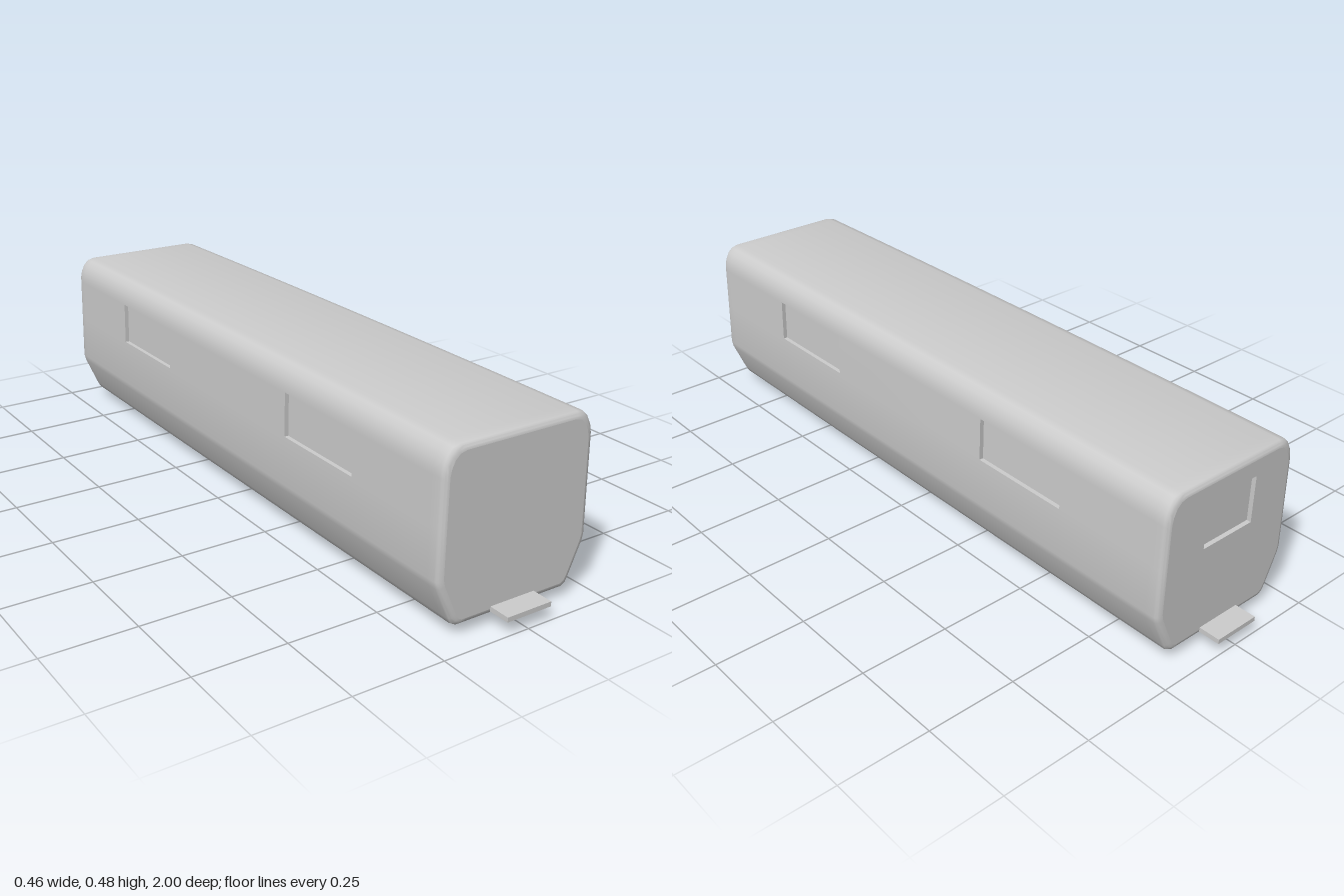
import * as THREE from 'three';
import { toCreasedNormals } from 'three/addons/utils/BufferGeometryUtils.js';

const grey = new THREE.MeshStandardMaterial({ color: 0xcccccc });
const END = 0.94;      // half length of the body
const BEVEL = 0.016;   // rounding of the end edges
const WIN = { z0: 0.31, z1: 0.605, y0: 0.29, y1: 0.41 };
const PIT = { x: 0.15, z: 0.9, y0: 0.028, y1: 0.084 };

// Right half of the cross-section, from the underside opening up to the roof
const half = [
  [PIT.x, 0.028], [0.165, 0.028], [0.178, 0.035], [0.186, 0.05], [0.224, 0.137], [0.2285, 0.156],
  [0.226, WIN.y0], [0.2238, WIN.y1], [0.2235, 0.425], [0.219, 0.446], [0.209, 0.466], [0.195, 0.479], [0.175, 0.484],
];
const section = [...half, ...half.map(([x, y]) => [-x, y]).reverse()];

// The body is very slightly fuller at mid length
function bulge(x, y, z) {
  const k = 1 - z * z;
  return [x * (0.99 + 0.011 * k), 0.028 + (y - 0.028) * (0.993 + 0.009 * k), z];
}

function ring(z, inset) {
  const s = 1 - inset / 0.228;
  return section.map(([x, y]) => bulge(x * s, 0.256 + (y - 0.256) * s, z));
}

function add(parent, name, geometry) {
  const mesh = new THREE.Mesh(geometry, grey);
  mesh.name = name;
  parent.add(mesh);
  return mesh;
}

// Lofted shell with gaps for the side windows and the underside
function shellGeometry() {
  const stations = [];
  for (let i = 0; i <= 4; i++) {
    const a = (i / 4) * Math.PI / 2;
    stations.push([END - BEVEL * (1 - Math.sin(a)), BEVEL * (1 - Math.cos(a))]);
  }
  for (const z of [PIT.z, 0.75, WIN.z1, 0.45, WIN.z0, 0.15]) stations.push([z, 0]);
  const all = [...stations, ...stations.map(([z, d]) => [-z, d]), [0, 0]].sort((a, b) => a[0] - b[0]);
  const rings = all.map(([z, d]) => ring(z, d));
  const pos = [];
  const n = section.length;
  for (let r = 0; r < rings.length - 1; r++) {
    const zMid = Math.abs(all[r][0] + all[r + 1][0]) / 2;
    for (let i = 0; i < n; i++) {
      const j = (i + 1) % n;
      const yMid = (section[i][1] + section[j][1]) / 2;
      const inWindow = zMid > WIN.z0 && zMid < WIN.z1 && yMid > WIN.y0 && yMid < WIN.y1;
      const inPit = i === n - 1 && zMid < PIT.z;
      if (inWindow || inPit) continue;
      const a = rings[r], b = rings[r + 1];
      pos.push(...a[i], ...a[j], ...b[j], ...a[i], ...b[j], ...b[i]);
    }
  }
  const g = new THREE.BufferGeometry();
  g.setAttribute('position', new THREE.Float32BufferAttribute(pos, 3));
  return toCreasedNormals(g, 0.6);
}

// Inward-facing box with one open face (0:+x 1:-x 2:+y 3:-y 4:+z 5:-z)
function recessGeometry(min, max, open) {
  const size = max.map((v, i) => v - min[i]);
  const box = new THREE.BoxGeometry(...size).toNonIndexed();
  const src = Array.from(box.attributes.position.array);
  const drop = open < 2 ? 1 - open : open; // mirroring swaps the x faces
  src.splice(drop * 18, 18);
  const g = new THREE.BufferGeometry();
  g.setAttribute('position', new THREE.Float32BufferAttribute(src, 3));
  g.scale(-1, 1, 1);
  g.translate(...min.map((v, i) => (v + max[i]) / 2));
  return g;
}

// Side window recess whose rim follows the sloping wall
function sideWindow(parent, side, end) {
  const z = end > 0 ? [WIN.z0, WIN.z1] : [-WIN.z1, -WIN.z0];
  const x = side > 0 ? [0.212, 0.225] : [-0.225, -0.212];
  const g = recessGeometry([x[0], WIN.y0, z[0]], [x[1], WIN.y1, z[1]], side > 0 ? 0 : 1);
  const p = g.attributes.position;
  for (let i = 0; i < p.count; i++) {
    const y = p.getY(i);
    const wall = y < 0.35 ? 0.226 : 0.2238;
    const depth = Math.abs(p.getX(i)) < 0.22 ? 0.012 : 0;
    p.setXYZ(i, ...bulge(side * (wall - depth), y, p.getZ(i)));
  }
  g.computeVertexNormals();
  add(parent, 'sideWindow', g);
}

// Flat end wall, with an optional window opening
function endWall(parent, name, dir, hole) {
  const shape = new THREE.Shape(ring(END, BEVEL).map(([x, y]) => new THREE.Vector2(x, y)));
  if (hole) {
    const [w, y0, y1] = hole;
    shape.holes.push(new THREE.Path([[-w, y0], [-w, y1], [w, y1], [w, y0]].map((c) => new THREE.Vector2(...c))));
  }
  const g = new THREE.ShapeGeometry(shape);
  if (dir < 0) g.rotateY(Math.PI);
  g.translate(0, 0, dir * END);
  add(parent, name, g);
}

// Axle with a tapered wheel at each end
function wheelset(z) {
  const set = new THREE.Group();
  set.name = 'wheelset';
  add(set, 'axle', new THREE.CylinderGeometry(0.016, 0.016, 0.26, 20).rotateZ(Math.PI / 2));
  for (const s of [1, -1]) {
    const wheel = new THREE.CylinderGeometry(0.038, 0.026, 0.012, 28).rotateZ(s * Math.PI / 2);
    add(set, 'wheel', wheel).position.x = s * 0.133;
  }
  set.position.set(0, 0.038, z);
  return set;
}

export function createModel() {
  const model = new THREE.Group();
  model.name = 'railCar';

  // Body and windows
  const body = new THREE.Group();
  body.name = 'body';
  model.add(body);
  add(body, 'shell', shellGeometry());
  endWall(body, 'frontWall', 1);
  endWall(body, 'backWall', -1, [0.085, 0.29, 0.42]);
  const back = recessGeometry([-0.085, 0.29, -END], [0.085, 0.42, -END + 0.012], 5);
  back.computeVertexNormals();
  add(body, 'backWindow', back);
  for (const side of [1, -1]) for (const end of [1, -1]) sideWindow(body, side, end);

  // Hollow underside
  const pit = recessGeometry([-PIT.x, PIT.y0, -PIT.z], [PIT.x, PIT.y1, PIT.z], 3);
  pit.computeVertexNormals();
  add(body, 'undersideRecess', pit);

  // Running gear
  for (const z of [0.77, 0.505, 0.15, -0.15, -0.47, -0.77]) model.add(wheelset(z));

  // Coupling plates at both ends
  for (const s of [1, -1]) {
    add(model, 'coupler', new THREE.BoxGeometry(0.134, 0.013, 0.08)).position.set(0, 0.044, s * 0.96);
  }
  return model;
}
